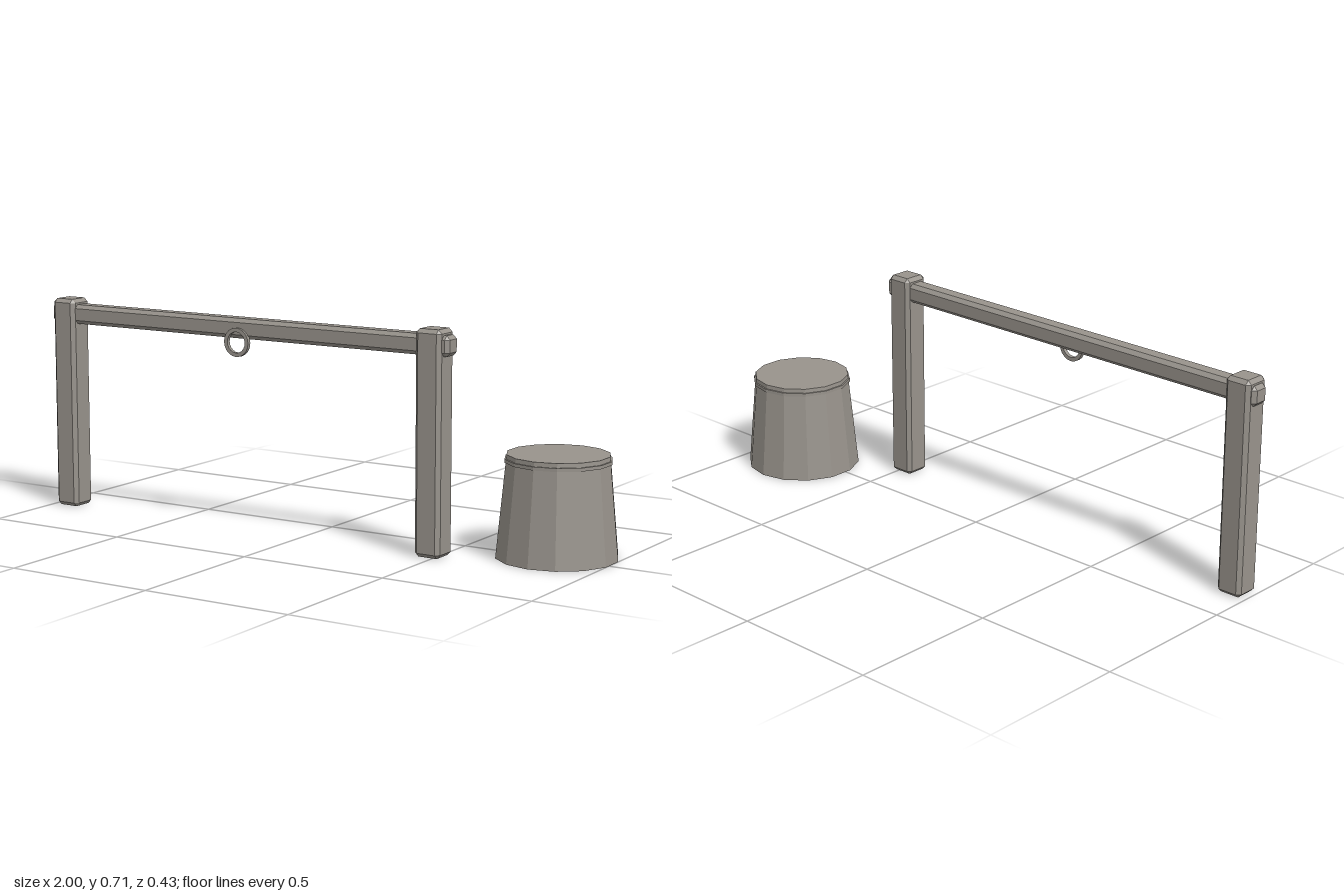
import * as THREE from 'three';
import { ConvexGeometry } from 'three/addons/geometries/ConvexGeometry.js';

const stone = new THREE.MeshStandardMaterial({ color: 0x98938c, flatShading: true });
stone.name = 'warm grey';

// Box with every edge and corner cut by c
function chamferBox(w, h, d, c) {
  const points = [];
  for (const sx of [-1, 1]) for (const sy of [-1, 1]) for (const sz of [-1, 1]) {
    const [x, y, z] = [w / 2, h / 2, d / 2];
    points.push(
      new THREE.Vector3(sx * x, sy * (y - c), sz * (z - c)),
      new THREE.Vector3(sx * (x - c), sy * y, sz * (z - c)),
      new THREE.Vector3(sx * (x - c), sy * (y - c), sz * z)
    );
  }
  return new ConvexGeometry(points);
}

export function createModel() {
  const model = new THREE.Group();
  model.name = 'hitchingRailAndBucket';
  const add = (name, geometry, x, y, z, parent = model) => {
    const mesh = new THREE.Mesh(geometry, stone);
    mesh.name = name;
    mesh.position.set(x, y, z);
    parent.add(mesh);
    return mesh;
  };

  // Two posts and the rail that passes through them
  const postZ = 0.1725;
  const post = chamferBox(0.09, 0.711, 0.089, 0.0125);
  add('rightPost', post, -0.941, 0.3555, postZ);
  add('leftPost', post, 0.482, 0.3555, postZ);
  add('rail', chamferBox(1.549, 0.065, 0.065, 0.0125), -0.2255, 0.6605, postZ);

  // Flat tie ring on the front of the rail
  const section = [[0.034, -0.0065], [0.047, -0.0065], [0.047, 0.0065], [0.034, 0.0065], [0.034, -0.0065]];
  const ring = add('tieRing',
    new THREE.LatheGeometry(section.map(([r, y]) => new THREE.Vector2(r, y)), 20), -0.229, 0.617, 0.207);
  ring.rotation.x = Math.PI / 2;

  // Upturned bucket: tapered body, thin band, lid
  const bucket = new THREE.Group();
  bucket.name = 'bucket';
  bucket.position.set(0.812, 0, -0.022);
  model.add(bucket);
  const tier = (name, top, bottom, y0, y1) =>
    add(name, new THREE.CylinderGeometry(top, bottom, y1 - y0, 14), 0, (y0 + y1) / 2, 0, bucket);
  tier('bucketBody', 0.164, 0.193, 0, 0.302);
  tier('bucketBand', 0.168, 0.168, 0.3, 0.311);
  tier('bucketTop', 0.162, 0.163, 0.31, 0.325);

  return model;
}
